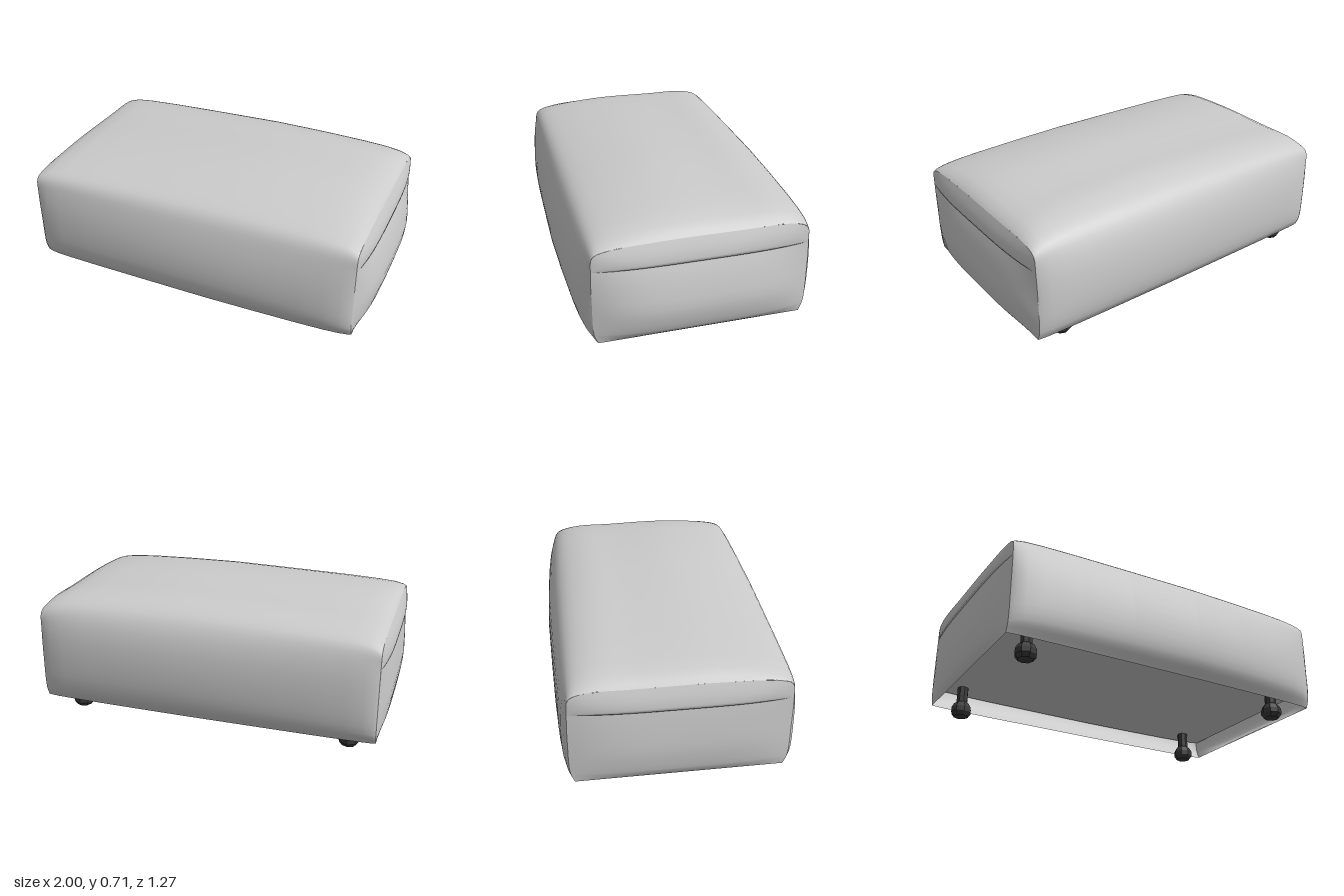
import * as THREE from 'three';

const fabric = new THREE.MeshStandardMaterial({ color: 0xcccccc, side: THREE.DoubleSide });
const darkWood = new THREE.MeshStandardMaterial({ color: 0x3a3a3a, flatShading: true });

// Cross-sections (z, y) of the cover, from the front hem over the top to the back hem
const curve = (pts) => new THREE.CatmullRomCurve3(pts.map(([z, y]) => new THREE.Vector3(0, y, z)));
const MID = curve([
  [0.56, 0.06], [0.62, 0.15], [0.635, 0.31], [0.6, 0.5], [0.55, 0.605], [0.45, 0.655], [0.13, 0.708],
  [-0.2, 0.702], [-0.4, 0.693], [-0.54, 0.64], [-0.605, 0.54], [-0.632, 0.35], [-0.605, 0.14], [-0.55, 0.06]]);
const END = curve([
  [0.53, 0.065], [0.55, 0.12], [0.555, 0.3], [0.555, 0.485], [0.545, 0.565], [0.48, 0.59], [0.2, 0.605],
  [-0.2, 0.605], [-0.48, 0.6], [-0.55, 0.57], [-0.56, 0.485], [-0.565, 0.3], [-0.56, 0.12], [-0.54, 0.065]]);
const SEAM = 3 / 13; // curve parameter of the side seam

// Stations along x: [x, how full the section is]
const STATIONS = [[-0.96, 0], [-0.94, 0.22], [-0.89, 0.44], [-0.8, 0.58], [-0.6, 0.73], [-0.3, 0.86],
  [0.1, 1], [0.4, 0.93], [0.65, 0.8], [0.78, 0.66], [0.86, 0.47], [0.905, 0.22], [0.925, 0]];

const sectionPoint = ([x, w], t) => {
  const p = END.getPoint(t).lerp(MID.getPoint(t), w);
  p.x = x;
  return p;
};

// Smooth surface through a grid of points given by fn(row, column)
function gridMesh(name, rows, cols, fn) {
  const pos = [], idx = [];
  for (let i = 0; i <= rows; i++) {
    for (let j = 0; j <= cols; j++) {
      pos.push(...fn(i, j).toArray());
      if (i < rows && j < cols) {
        const a = i * (cols + 1) + j, b = a + cols + 1;
        idx.push(a, a + 1, b, b, a + 1, b + 1);
      }
    }
  }
  const geo = new THREE.BufferGeometry();
  geo.setAttribute('position', new THREE.Float32BufferAttribute(pos, 3));
  geo.setIndex(idx);
  geo.computeVertexNormals();
  const mesh = new THREE.Mesh(geo, fabric);
  mesh.name = name;
  return mesh;
}

// Soft end of the ottoman: lower panel and overhanging cushion end
function sideEnd(name, sign, edge, bulge, seamBulge) {
  const side = new THREE.Group();
  side.name = name;
  const N = 20, R = 12, PEAK = 0.54;
  const across = (j) => 1 - Math.pow(Math.abs((2 * j) / N - 1), 3.5);

  side.add(gridMesh('sidePanel', R, N, (i, j) => {
    const v = i / R;
    const p = END.getPoint(v * SEAM).lerp(END.getPoint(1 - v * SEAM), j / N);
    const out = v < PEAK
      ? bulge * Math.pow(v / PEAK, 0.85)
      : THREE.MathUtils.lerp(bulge, seamBulge, Math.pow((v - PEAK) / (1 - PEAK), 1.6));
    p.x = sign * (edge + out * across(j));
    return p;
  }));

  const a = END.getPoint(SEAM), b = END.getPoint(1 - SEAM);
  side.add(gridMesh('cushionEnd', 9, N, (i, j) => {
    const s = Math.min(i / 8, 1);
    const t = SEAM + (1 - 2 * SEAM) * (j / N);
    const p = END.getPoint(t).lerp(a.clone().lerp(b, j / N), s);
    const out = (seamBulge + 0.01) * Math.sin(s * Math.PI / 2);
    const tuck = i === 9 ? 0.03 : 0; // last row tucks under
    p.x = sign * (edge + (out - tuck) * across(j));
    return p;
  }));
  return side;
}

// Recessed floor following the inside of the cover
function makeFloor() {
  const t = 1.2 / 13;
  const edge = (s) => STATIONS.map((station) => {
    const p = sectionPoint(station, s);
    return new THREE.Vector2(p.x, p.z * 0.97);
  });
  const geo = new THREE.ShapeGeometry(new THREE.Shape([...edge(t), ...edge(1 - t).reverse()]));
  geo.rotateX(Math.PI / 2);
  geo.translate(0, 0.175, 0);
  const floor = new THREE.Mesh(geo, fabric);
  floor.name = 'recessedFloor';
  return floor;
}

export function createModel() {
  const model = new THREE.Group();
  model.name = 'ottoman';

  // Cover running from front to back over the top
  model.add(gridMesh('cover', STATIONS.length - 1, 52, (i, j) => sectionPoint(STATIONS[i], j / 52)));

  model.add(sideEnd('leftEnd', 1, 0.925, 0.075, 0.022));
  model.add(sideEnd('rightEnd', -1, 0.96, 0.04, 0.02));
  model.add(makeFloor());

  // Low-poly bulb feet on short stems
  const footGeo = new THREE.LatheGeometry([[0, 0], [0.042, 0], [0.058, 0.022], [0.058, 0.05], [0.045, 0.075],
    [0.032, 0.085], [0.032, 0.175]].map(([r, y]) => new THREE.Vector2(r, y)), 8);
  for (const [x, z, name] of [[-0.81, 0.43, 'frontRightFoot'], [0.74, 0.43, 'frontLeftFoot'],
    [-0.81, -0.465, 'backRightFoot'], [0.74, -0.465, 'backLeftFoot']]) {
    const foot = new THREE.Mesh(footGeo, darkWood);
    foot.position.set(x, 0, z);
    foot.name = name;
    model.add(foot);
  }
  return model;
}
